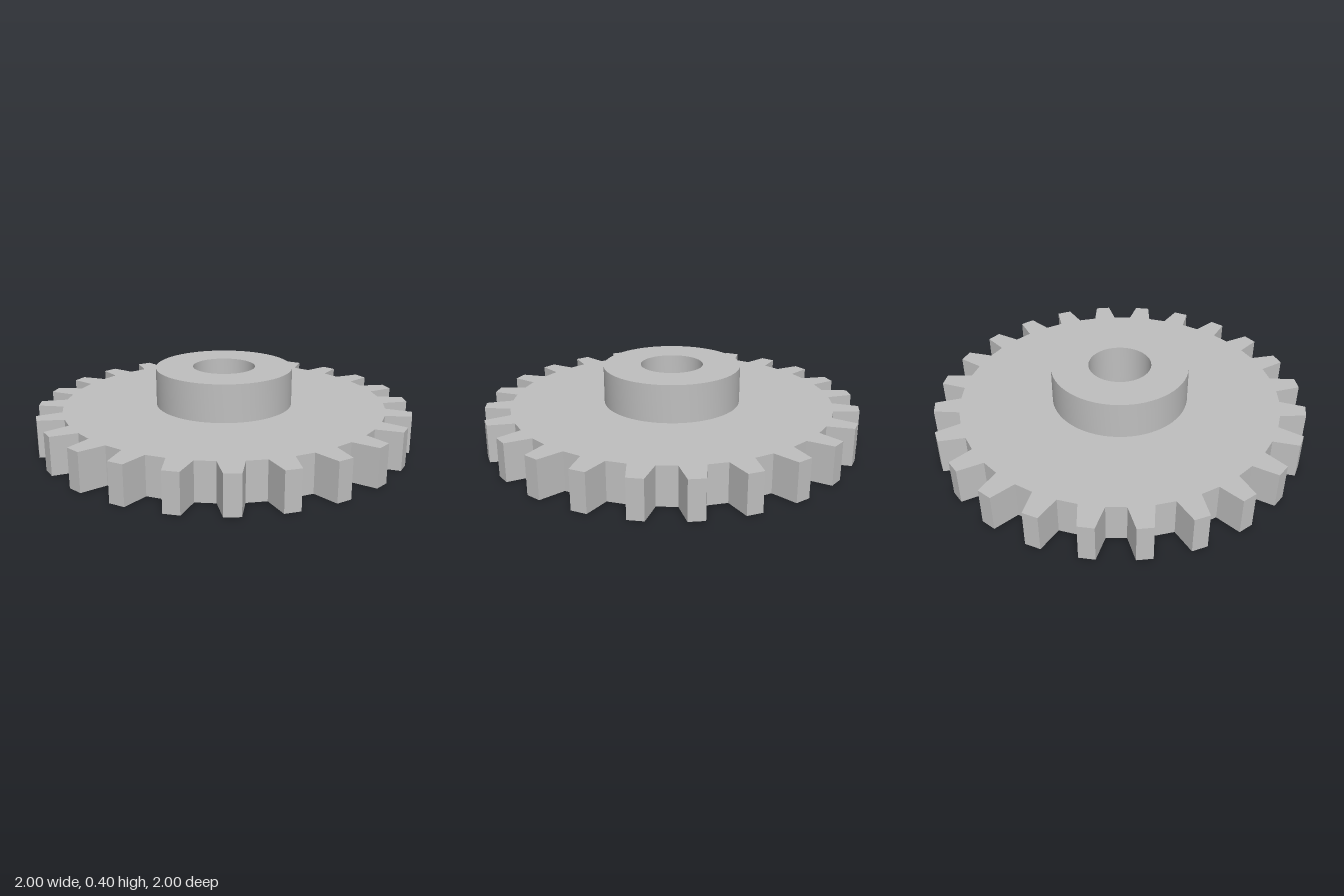
import * as THREE from 'three';
import { toCreasedNormals } from 'three/addons/utils/BufferGeometryUtils.js';

const TEETH = 24, TIP_R = 1.003, ROOT_R = 0.868;
const BORE_R = 0.168, HUB_R = 0.368, PLATE_H = 0.2, TOTAL_H = 0.401;
const deg = THREE.MathUtils.degToRad;

// Toothed outline: each tooth tapers from a wide root to a narrow tip
function gearShape() {
  const points = [];
  const corners = [[ROOT_R, -4.2], [TIP_R, -2.3], [TIP_R, 2.3], [ROOT_R, 4.2]];
  for (let i = 0; i < TEETH; i++) {
    const centre = 6.9 + i * 360 / TEETH;
    for (const [r, offset] of corners) {
      const a = deg(centre + offset);
      points.push(new THREE.Vector2(r * Math.cos(a), r * Math.sin(a)));
    }
  }
  const shape = new THREE.Shape(points);
  shape.holes.push(new THREE.Path().absarc(0, 0, BORE_R, 0, Math.PI * 2, true));
  return shape;
}

export function createModel() {
  const group = new THREE.Group();
  group.name = 'spurGear';
  const steel = new THREE.MeshStandardMaterial({ color: 0xbfbfbf });
  steel.name = 'steelGrey';

  const add = (name, geometry) => {
    const mesh = new THREE.Mesh(toCreasedNormals(geometry, deg(20)), steel);
    mesh.name = name;
    group.add(mesh);
  };

  // Toothed plate with the bore through it
  const plate = new THREE.ExtrudeGeometry(gearShape(), {
    depth: PLATE_H, bevelEnabled: false, curveSegments: 64,
  });
  plate.rotateX(-Math.PI / 2);
  add('toothedPlate', plate);

  // Raised hub: outer wall, top ring and upper bore wall
  const profile = [
    [HUB_R, PLATE_H], [HUB_R, TOTAL_H], [BORE_R, TOTAL_H], [BORE_R, PLATE_H],
  ].map(([r, y]) => new THREE.Vector2(r, y));
  add('hub', new THREE.LatheGeometry(profile, 64));

  return group;
}
